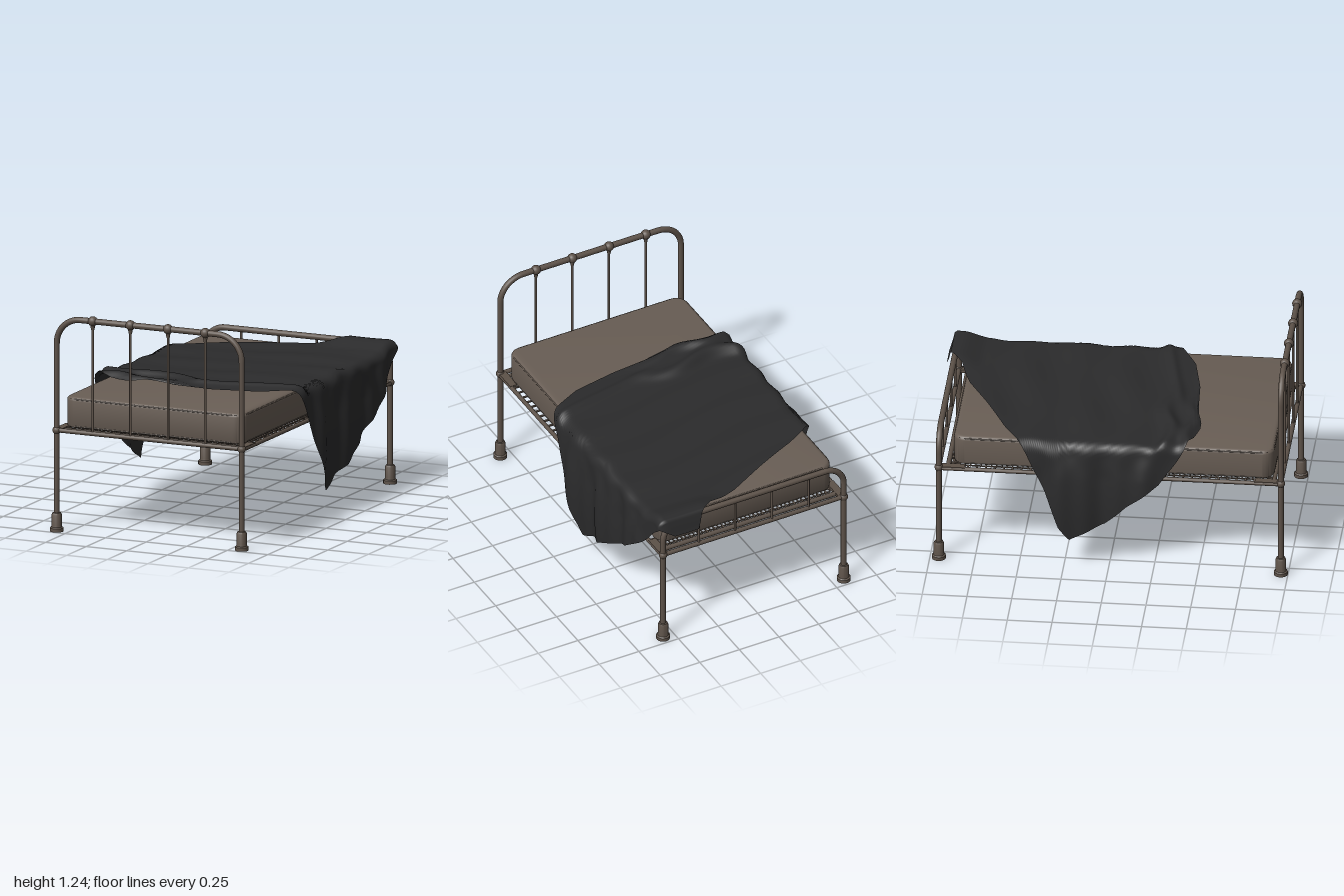
import * as THREE from 'three';
import { mergeGeometries, toCreasedNormals } from 'three/addons/utils/BufferGeometryUtils.js';

const metal = new THREE.MeshStandardMaterial({ color: 0x5d5249 });
metal.name = 'aged metal';
const ticking = new THREE.MeshStandardMaterial({ color: 0x695e55 });
ticking.name = 'mattress cloth';
const wool = new THREE.MeshStandardMaterial({ color: 0x2b2b2c, side: THREE.DoubleSide });
wool.name = 'dark blanket';

const POST_X = 0.57, HEAD_Z = 0.96, FOOT_Z = -0.95, RAIL_Y = 0.575;

function add(parent, name, geometry, material, x = 0, y = 0, z = 0) {
  const mesh = new THREE.Mesh(geometry, material);
  mesh.name = name;
  mesh.position.set(x, y, z);
  parent.add(mesh);
  return mesh;
}

const box = (w, h, d, x, y, z) => new THREE.BoxGeometry(w, h, d).translate(x, y, z);

// Round bar running along x
function barX(parent, name, length, radius, y, z) {
  add(parent, name, new THREE.CylinderGeometry(radius, radius, length, 16).rotateZ(Math.PI / 2), metal, 0, y, z);
}

// Bent tube hoop with feet, spindles and lower rail
function createEnd(name, z, top, bend, withKnobs) {
  const end = new THREE.Group();
  end.name = name;
  end.position.z = z;
  const v = (x, y) => new THREE.Vector3(x, y, 0);
  const path = new THREE.CurvePath();
  const x = POST_X, a = x - bend, b = top - bend, k = bend * 0.55;
  path.add(new THREE.LineCurve3(v(-x, 0.02), v(-x, b)));
  path.add(new THREE.CubicBezierCurve3(v(-x, b), v(-x, b + k), v(-a - k, top), v(-a, top)));
  path.add(new THREE.LineCurve3(v(-a, top), v(a, top)));
  path.add(new THREE.CubicBezierCurve3(v(a, top), v(a + k, top), v(x, b + k), v(x, b)));
  path.add(new THREE.LineCurve3(v(x, b), v(x, 0.02)));
  add(end, 'hoop', new THREE.TubeGeometry(path, 140, 0.017, 14), metal);
  barX(end, 'lowerRail', 2 * x, 0.013, RAIL_Y, 0);

  const footProfile = [[0, 0], [0.039, 0], [0.039, 0.02], [0.031, 0.026], [0.029, 0.035],
    [0.029, 0.095], [0.024, 0.106], [0.016, 0.108]].map(p => new THREE.Vector2(...p));
  for (const s of [-1, 1]) {
    add(end, 'foot', toCreasedNormals(new THREE.LatheGeometry(footProfile, 20), 0.6), metal, s * x);
    add(end, 'cornerJoint', new THREE.SphereGeometry(0.024, 16, 10), metal, s * x, RAIL_Y, 0);
  }

  for (const sx of [-0.348, -0.116, 0.116, 0.345]) {
    add(end, 'spindle', new THREE.CylinderGeometry(0.007, 0.007, top - RAIL_Y, 10), metal, sx, (top + RAIL_Y) / 2, 0);
    if (!withKnobs) continue;
    add(end, 'knob', new THREE.SphereGeometry(0.028, 16, 12), metal, sx, top, 0);
    add(end, 'knobCollar', new THREE.CylinderGeometry(0.014, 0.009, 0.03, 12), metal, sx, top - 0.035, 0);
  }
  return end;
}

// Frame rails, corner brackets and wire spring base
function createBase() {
  const base = new THREE.Group();
  base.name = 'bedBase';
  for (const s of [-1, 1]) {
    add(base, 'sideRail', new THREE.CylinderGeometry(0.012, 0.012, HEAD_Z - FOOT_Z, 12).rotateX(Math.PI / 2),
      metal, s * 0.575, RAIL_Y - 0.003, 0.005);
    for (const z of [0.885, -0.875]) {
      add(base, 'cornerBracket', new THREE.BoxGeometry(0.045, 0.02, 0.14), metal, s * 0.562, RAIL_Y, z);
    }
  }
  barX(base, 'headCrossRail', 1.12, 0.012, RAIL_Y - 0.003, 0.92);
  barX(base, 'footCrossRail', 1.12, 0.014, RAIL_Y - 0.003, -0.9);

  const wires = [], springs = [];
  for (let i = 0; i <= 42; i++) wires.push(box(0.007, 0.005, 1.75, -0.53 + i * 1.06 / 42, 0.572, 0.01));
  for (let i = 0; i <= 60; i++) wires.push(box(1.06, 0.005, 0.007, 0, 0.568, -0.865 + i * 1.75 / 60));
  for (const s of [-1, 1]) {
    for (let i = 0; i <= 34; i++) springs.push(box(0.05, 0.008, 0.01, s * 0.552, 0.57, -0.84 + i * 0.05));
    for (let i = 0; i <= 20; i++) springs.push(box(0.01, 0.008, 0.05, -0.5 + i * 0.05, 0.57, 0.01 + s * 0.893));
  }
  add(base, 'wireMesh', mergeGeometries(wires), metal);
  add(base, 'edgeSprings', mergeGeometries(springs), metal);
  return base;
}

function roundedRect(hw, hl, r) {
  const s = new THREE.Shape();
  s.absarc(hw - r, hl - r, r, 0, Math.PI / 2);
  s.absarc(-hw + r, hl - r, r, Math.PI / 2, Math.PI);
  s.absarc(-hw + r, -hl + r, r, Math.PI, Math.PI * 1.5);
  s.absarc(hw - r, -hl + r, r, Math.PI * 1.5, Math.PI * 2);
  s.closePath();
  return s;
}

// Mattress with piping round both edges
function createMattress() {
  const mattress = new THREE.Group();
  mattress.name = 'mattress';
  mattress.position.set(0, 0.583, 0.0225);
  const bevel = 0.022, height = 0.177;
  const body = new THREE.ExtrudeGeometry(roundedRect(0.55 - bevel, 0.895 - bevel, 0.045), {
    depth: height - 2 * bevel, bevelSize: bevel, bevelThickness: bevel, bevelSegments: 4, curveSegments: 8,
  }).rotateX(-Math.PI / 2);
  add(mattress, 'mattressBody', toCreasedNormals(body, 0.7), ticking, 0, bevel, 0);
  const loop = roundedRect(0.544, 0.889, 0.062).getPoints(8).map(p => new THREE.Vector3(p.x, 0, p.y));
  loop.pop();
  const piping = new THREE.TubeGeometry(new THREE.CatmullRomCurve3(loop, true, 'centripetal'), 160, 0.005, 6, true);
  for (const y of [0.012, height - 0.012]) add(mattress, 'piping', piping, ticking, 0, y, 0);
  return mattress;
}

// Hem positions measured across the bed: within 0.6 lies on top, beyond hangs down
const HEM_LEFT_SIDE = [[-1, 0.37], [-0.97, 0.33], [-0.9, 0.24], [-0.84, 0.06], [-0.72, -0.17], [-0.6, -0.42], [-0.48, -0.62],
  [-0.36, -0.87], [-0.28, -1.1], [-0.22, -1.18], [-0.02, -1.07], [0.1, -0.95], [0.28, -0.81], [0.43, -0.59],
  [0.46, -0.5], [0.49, -0.36]];
const HEM_RIGHT_SIDE = [[-1, 0.52], [-0.97, 0.64], [-0.87, 0.72], [-0.61, 0.92], [-0.29, 1.11], [-0.18, 1.15], [-0.06, 1.22],
  [0.03, 1.09], [0.14, 0.87], [0.22, 0.7], [0.29, 0.59], [0.39, 0.4], [0.44, 0.14], [0.46, -0.18], [0.49, -0.31]];

function lookup(table, z) {
  for (let i = 1; i < table.length; i++) {
    const [z0, p0] = table[i - 1], [z1, p1] = table[i];
    if (z <= z1) return THREE.MathUtils.lerp(p0, p1, (z - z0) / (z1 - z0));
  }
  return table[table.length - 1][1];
}

const bump = (t, centre, width) => Math.exp(-(((t - centre) / width) ** 2));

// Maps a cloth coordinate (across, along) to a draped point
function drape(p, z) {
  const a = Math.abs(p), side = Math.sign(p), R = 0.05;
  const start = 0.605 - R, arc = R * Math.PI / 2;
  let x = a, y = 0.773;
  if (a > start) {
    const t = Math.min((a - start) / arc, 1) * Math.PI / 2;
    x = start + R * Math.sin(t);
    y -= R * (1 - Math.cos(t));
  }
  const drop = Math.max(a - start - arc, 0);
  y -= drop;
  const hang = Math.min(drop / 0.15, 1);
  x += hang * (0.012 * Math.sin(z * 17 + side) + 0.006 * Math.sin(z * 39)) + 0.02 * Math.sin(Math.min(drop / 0.58, 1) * Math.PI);
  x += 0.006 * Math.sin(z * 31 + side) * bump(a, 0.64, 0.06);
  x *= side;
  // Soft wrinkles, bunched front edge and the corner lifted over the foot rail
  const flat = 1 - hang;
  y += flat * (0.004 * Math.sin(z * 23 + Math.sin(p * 4) * 1.5) + 0.003 * Math.sin(p * 9 + z * 12));
  const bunch = THREE.MathUtils.smoothstep(-p, -0.2, 0.35);
  y += flat * bunch * (0.042 * bump(z, 0.31 + 0.03 * Math.sin(p * 11), 0.045) + 0.035 * bump(z, 0.44 + 0.02 * Math.sin(p * 17), 0.04));
  y += flat * 0.018 * bump(z, 0.34 - 0.2 * p, 0.03) * (1 - bunch);
  const lift = THREE.MathUtils.smoothstep(-z, 0.78, 0.93) * THREE.MathUtils.smoothstep(p, 0.1, 0.32);
  y += lift * 0.047 - 0.1 * THREE.MathUtils.smoothstep(-z, 0.968, 1) * lift;
  return [x, y, z];
}

function createBlanket() {
  const rows = 120, cols = 80, positions = [], indices = [];
  for (let i = 0; i <= rows; i++) {
    const z = THREE.MathUtils.lerp(-1, 0.49, i / rows);
    const l = lookup(HEM_LEFT_SIDE, z), r = lookup(HEM_RIGHT_SIDE, z);
    for (let j = 0; j <= cols; j++) {
      positions.push(...drape(THREE.MathUtils.lerp(l, r, j / cols), z));
      if (i === rows || j === cols) continue;
      const a = i * (cols + 1) + j, b = a + cols + 1;
      indices.push(a, b, a + 1, b, b + 1, a + 1);
    }
  }
  const geometry = new THREE.BufferGeometry();
  geometry.setAttribute('position', new THREE.Float32BufferAttribute(positions, 3));
  geometry.setIndex(indices);
  geometry.computeVertexNormals();
  return geometry;
}

export function createModel() {
  const bed = new THREE.Group();
  bed.name = 'bed';
  bed.add(createEnd('headboard', HEAD_Z, 1.215, 0.145, true));
  bed.add(createEnd('footboard', FOOT_Z, 0.79, 0.12, false));
  bed.add(createBase());
  bed.add(createMattress());
  add(bed, 'blanket', createBlanket(), wool);
  return bed;
}
